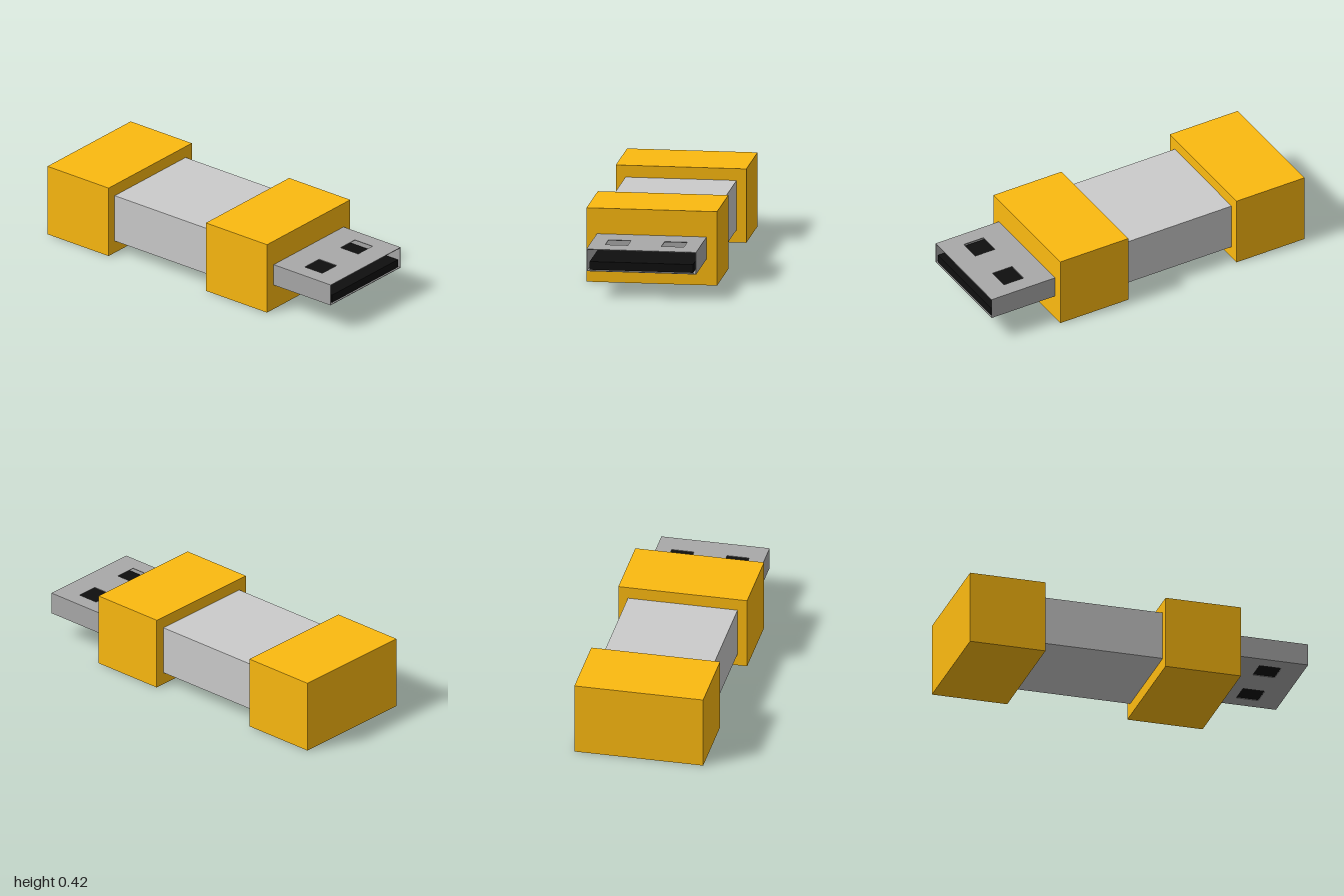
import * as THREE from 'three';

const paint = (color) => new THREE.MeshStandardMaterial({ color });

// Box given by its limits on each axis
function block(name, material, [x0, x1], [y0, y1], [z0, z1]) {
  const mesh = new THREE.Mesh(new THREE.BoxGeometry(x1 - x0, y1 - y0, z1 - z0), material);
  mesh.position.set((x0 + x1) / 2, (y0 + y1) / 2, (z0 + z1) / 2);
  mesh.name = name;
  return mesh;
}

// Closed rectangle, used for plates and their holes
function rectangle(PathType, x0, x1, z0, z1) {
  return new PathType([[x0, z0], [x1, z0], [x1, z1], [x0, z1]].map(([x, z]) => new THREE.Vector2(x, z)));
}

export function createModel() {
  const model = new THREE.Group();
  model.name = 'flashDrive';
  const yellow = paint(0xfcba10);
  const bodyGrey = paint(0xcccccc);
  const metal = paint(0xa9a9a9);
  const black = paint(0x0f0f0f);

  // Body between two thick end caps
  model.add(
    block('body', bodyGrey, [-0.315, 0.315], [0.073, 0.356], [-0.6, 0.2]),
    block('frontCap', yellow, [-0.37, 0.37], [0, 0.424], [0.146, 0.588]),
    block('rearCap', yellow, [-0.37, 0.37], [0, 0.424], [-1, -0.558]),
  );

  // Hollow plug: thin sheet-metal sleeve with two windows above and below
  const plug = new THREE.Group();
  plug.name = 'plug';
  const w = 0.311, bottom = 0.15, top = 0.277, back = 0.58, t = 0.004;
  const plate = rectangle(THREE.Shape, -w, w, back, 1);
  for (const x of [-0.159, 0.159]) {
    plate.holes.push(rectangle(THREE.Path, x - 0.064, x + 0.064, 0.741, 0.869));
  }
  const plateGeometry = new THREE.ExtrudeGeometry(plate, { depth: t, bevelEnabled: false });
  plateGeometry.rotateX(Math.PI / 2);
  for (const [name, y] of [['plugTop', top], ['plugBottom', bottom + t]]) {
    const mesh = new THREE.Mesh(plateGeometry, metal);
    mesh.name = name;
    mesh.position.y = y;
    plug.add(mesh);
  }
  plug.add(
    block('plugLeftWall', metal, [w - t, w], [bottom + t, top - t], [back, 1]),
    block('plugRightWall', metal, [-w, t - w], [bottom + t, top - t], [back, 1]),
    block('plugBackWall', metal, [t - w, w - t], [bottom + t, top - t], [back, 0.6]),
    // Contact tongue inside the sleeve
    block('tongue', black, [-0.293, 0.293], [0.158, 0.205], [0.6, 0.995]),
  );
  model.add(plug);
  return model;
}
